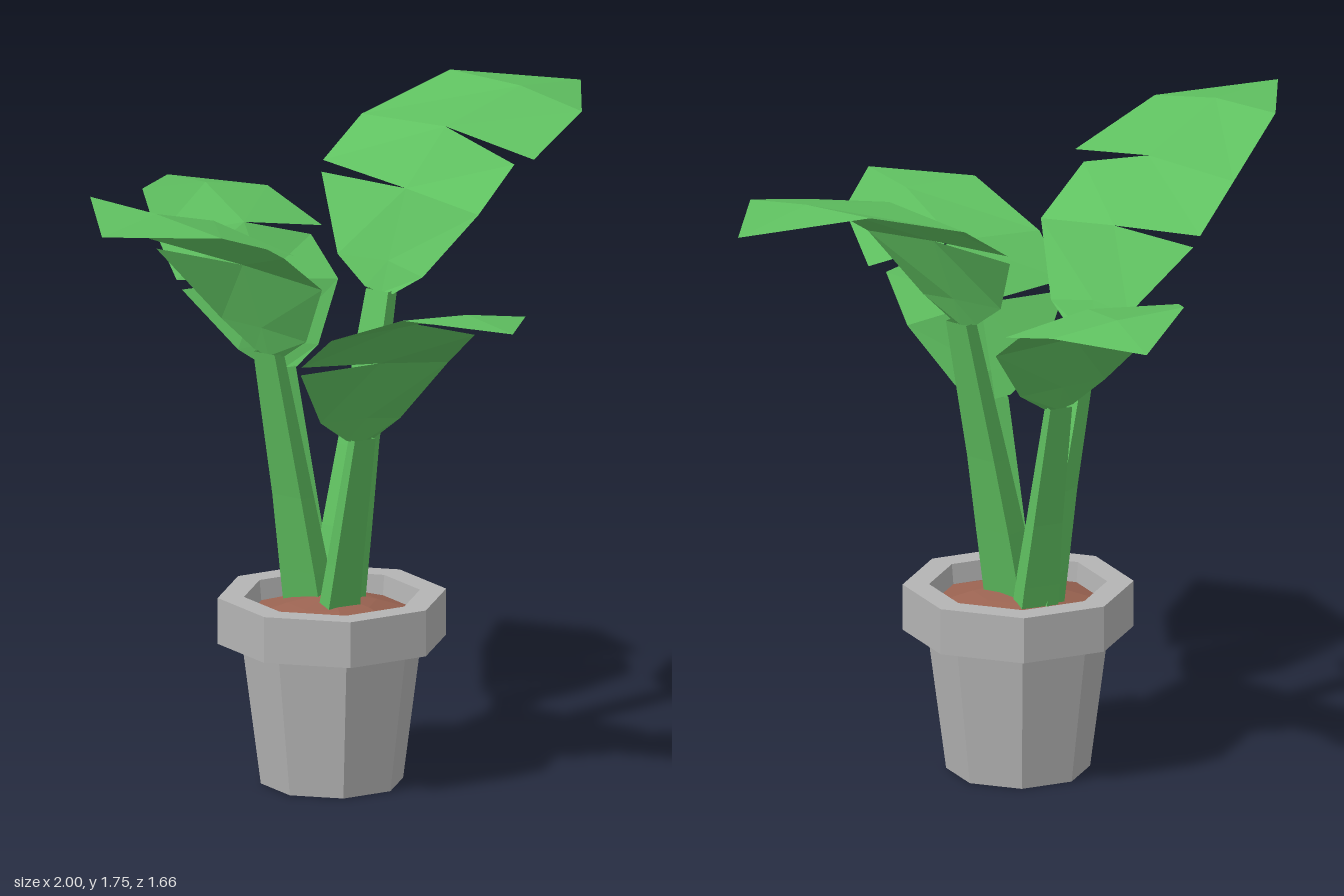
import * as THREE from 'three';

const leafGreen = new THREE.MeshStandardMaterial({ color: 0x5fc060, side: THREE.DoubleSide });
leafGreen.name = 'leafGreen';
const potGrey = new THREE.MeshStandardMaterial({ color: 0xb4b4b4 });
potGrey.name = 'potGrey';
const soilBrown = new THREE.MeshStandardMaterial({ color: 0x9a6351 });
soilBrown.name = 'soilBrown';
for (const m of [leafGreen, potGrey, soilBrown]) m.flatShading = true;

// Leaf frame: [outward, up, sideways]
const midrib = [[0.2, 1.28, 0.02], [0.23, 1.36, 0.02], [0.31, 1.54, 0.02], [0.46, 1.68, 0.04], [0.75, 1.735, 0.075], [1, 1.7, 0.09]];
// Each blade half is two panels with a slit between them: [first midrib index, outer edge]
const nearPanels = [
  [0, [[0.195, 1.29, -0.03], [0.21, 1.36, -0.13], [0.32, 1.54, -0.262]]],
  [2, [[0.338, 1.567, -0.27], [0.485, 1.665, -0.25], [0.745, 1.745, -0.15], midrib[5]]],
];
const farPanels = [
  [0, [[0.19, 1.285, 0.065], [0.205, 1.34, 0.15], [0.29, 1.51, 0.27], [0.452, 1.613, 0.27]]],
  [3, [[0.47, 1.63, 0.32], [0.735, 1.7, 0.285], midrib[5]]],
];
// Stem rings: [outward, up, half width, half thickness]
const stemRings = [[0, 0.47, 0.065, 0.035], [0.045, 0.68, 0.058, 0.033], [0.095, 0.89, 0.048, 0.028], [0.2, 1.29, 0.036, 0.02]];

function meshFromQuads(quads, place, mirrored, name) {
  const pos = [];
  for (const [a, b, c, d] of quads) {
    const tris = c === d ? [[a, b, c]] : [[a, b, c], [a, c, d]];
    for (const t of tris) {
      for (const p of mirrored ? [t[0], t[2], t[1]] : t) pos.push(...place(p));
    }
  }
  const geo = new THREE.BufferGeometry();
  geo.setAttribute('position', new THREE.Float32BufferAttribute(pos, 3));
  geo.computeVertexNormals();
  const mesh = new THREE.Mesh(geo, leafGreen);
  mesh.name = name;
  return mesh;
}

function bladeQuads() {
  const quads = [];
  for (const [start, edge] of nearPanels) {
    for (let i = 0; i < edge.length - 1; i++) {
      quads.push([edge[i], midrib[start + i], midrib[start + i + 1], edge[i + 1]]);
    }
  }
  for (const [start, edge] of farPanels) {
    for (let i = 0; i < edge.length - 1; i++) {
      quads.push([midrib[start + i], edge[i], edge[i + 1], midrib[start + i + 1]]);
    }
  }
  return quads;
}

function stemQuads() {
  const rings = stemRings.map(([a, y, w, t]) => [
    [a - t, y, 0.02 - w], [a - t, y, 0.02 + w], [a + t, y, 0.02 + w], [a + t, y, 0.02 - w],
  ]);
  const quads = [];
  for (let i = 0; i < rings.length - 1; i++) {
    for (let k = 0; k < 4; k++) {
      const n = (k + 1) % 4;
      quads.push([rings[i][k], rings[i][n], rings[i + 1][n], rings[i + 1][k]]);
    }
  }
  return quads;
}

// A leaf grows along the ground direction (ux, uz); mirrored leaves swap their sides
function leaf({ name, dir: [ux, uz], mirrored, scale, at: [ox, oy, oz], tilt }) {
  const m = mirrored ? -1 : 1;
  const place = ([a, y, s]) => [
    ox + scale * (a * ux - m * s * uz),
    oy + scale * y + tilt * (a - 0.7),
    oz + scale * (a * uz + m * s * ux),
  ];
  const g = new THREE.Group();
  g.name = name;
  g.add(meshFromQuads(bladeQuads(), place, mirrored, 'blade'));
  g.add(meshFromQuads(stemQuads(), place, mirrored, 'stem'));
  return g;
}

// Eight-sided turned part with flat faces
function octagonal(name, profile, material) {
  const geo = new THREE.LatheGeometry(profile.map(([r, y]) => new THREE.Vector2(r, y)), 8).toNonIndexed();
  geo.computeVertexNormals();
  const mesh = new THREE.Mesh(geo, material);
  mesh.name = name;
  mesh.position.set(-0.03, 0, 0.025);
  return mesh;
}

export function createModel() {
  const model = new THREE.Group();
  model.name = 'pottedPlant';

  model.add(octagonal('pot', [
    [0, 0], [0.19, 0], [0.24, 0.385], [0.305, 0.385], [0.305, 0.51], [0.235, 0.51], [0.228, 0.44],
  ], potGrey));
  model.add(octagonal('soil', [[0.232, 0.455], [0.12, 0.49], [0, 0.515]], soilBrown));

  const leaves = [
    { name: 'leftLeaf', dir: [1, 0], mirrored: false, scale: 1, at: [0, 0, 0], tilt: 0 },
    { name: 'rightLeaf', dir: [-0.999, -0.04], mirrored: true, scale: 1, at: [0, -0.05, -0.07], tilt: 0.1 },
    { name: 'backLeaf', dir: [0.4, -0.917], mirrored: false, scale: 0.87, at: [-0.017, -0.05, -0.055], tilt: 0 },
    { name: 'frontLeaf', dir: [-0.415, 0.91], mirrored: true, scale: 0.87, at: [-0.058, -0.1, 0.018], tilt: 0.1 },
  ];
  for (const spec of leaves) model.add(leaf(spec));
  return model;
}
